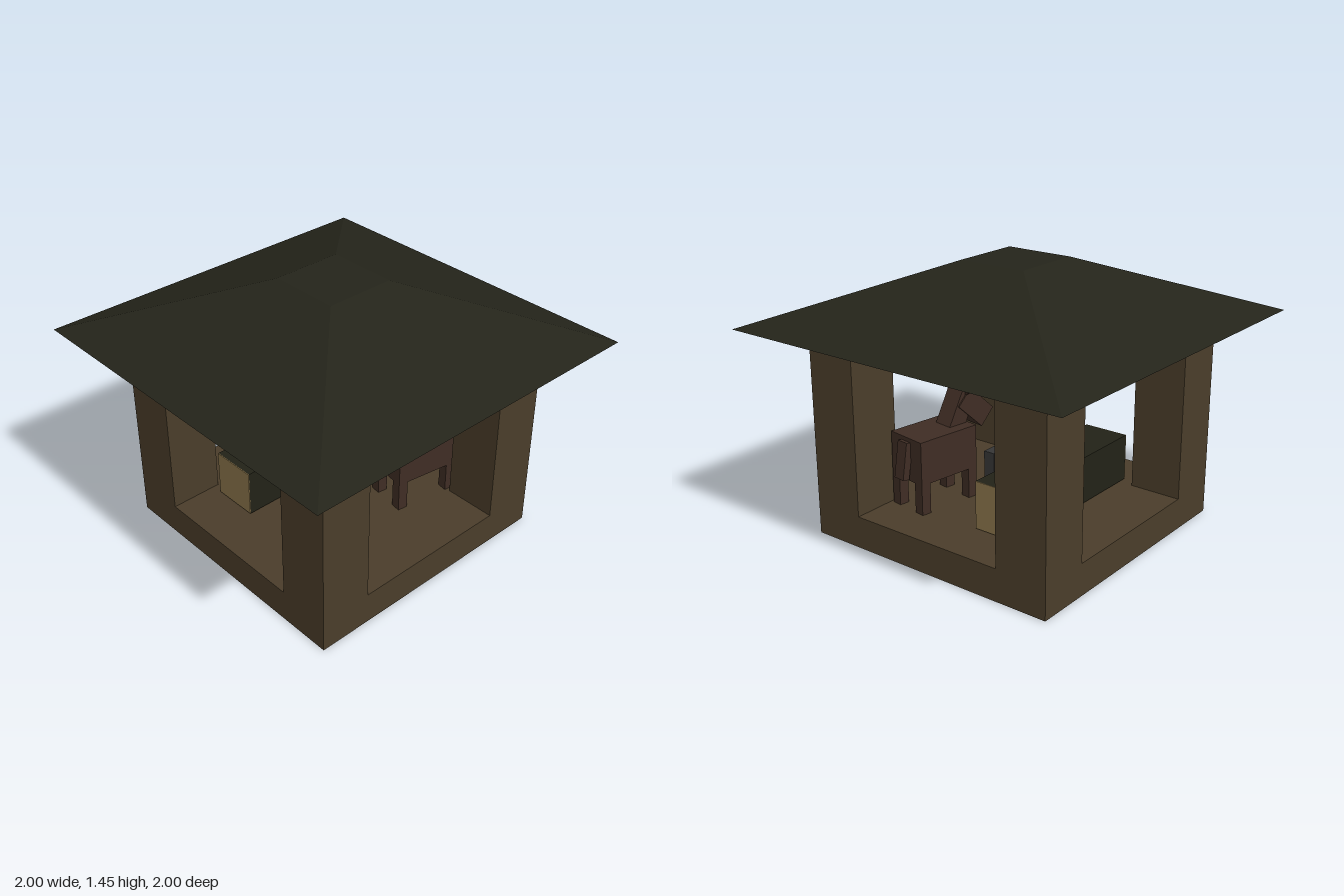
import * as THREE from 'three';

const paint = (color) => new THREE.MeshStandardMaterial({ color, flatShading: true });
const stone = paint(0x4a3d2a), thatch = paint(0x24241a), hide = paint(0x3f2d24);
const straw = paint(0x8a744a), cloth = paint(0x222217), slate = paint(0x363636);

function box(parent, name, material, size, pos, rot = [0, 0, 0]) {
  const mesh = new THREE.Mesh(new THREE.BoxGeometry(...size), material);
  mesh.name = name;
  mesh.position.set(...pos);
  mesh.rotation.set(...rot);
  parent.add(mesh);
  return mesh;
}

function createDonkey() {
  const donkey = new THREE.Group();
  donkey.name = 'donkey';
  box(donkey, 'body', hide, [0.238, 0.235, 0.372], [0, 0.4575, 0]);
  box(donkey, 'neck', hide, [0.11, 0.28, 0.1], [0, 0.607, 0.133], [0.47, 0, 0]);
  box(donkey, 'head', hide, [0.125, 0.12, 0.215], [0, 0.645, 0.24], [0.75, 0, 0]);
  box(donkey, 'tail', hide, [0.07, 0.2, 0.04], [0, 0.455, -0.205], [0.15, 0, 0]);
  for (const side of [-1, 1]) {
    box(donkey, 'ear', hide, [0.062, 0.15, 0.04], [side * 0.085, 0.787, 0.185], [-0.1, 0, -side * 0.92]);
    // legs sit flush with the corners of the body
    for (const end of [-1, 1]) {
      box(donkey, end > 0 ? 'frontLeg' : 'backLeg', hide, [0.056, 0.17, 0.056],
        [side * 0.091, 0.259, end * 0.158]);
    }
  }
  donkey.position.set(0.2875, 0, -0.325);
  donkey.rotation.y = -0.148;
  return donkey;
}

export function createModel() {
  const model = new THREE.Group();
  model.name = 'stableShelter';

  // floor slab and corner posts
  box(model, 'base', stone, [1.476, 0.175, 1.476], [0, 0.0875, 0]);
  for (const x of [-1, 1]) for (const z of [-1, 1]) {
    box(model, 'cornerPost', stone, [0.29, 0.945, 0.29], [x * 0.593, 0.6475, z * 0.593]);
  }

  // truncated pyramid roof, floating just above the posts
  const roofShape = new THREE.CylinderGeometry(0.192 * Math.SQRT2, Math.SQRT2, 0.318, 4, 1);
  roofShape.rotateY(Math.PI / 4);
  const roof = new THREE.Mesh(roofShape, thatch);
  roof.name = 'roof';
  roof.position.y = 1.294;
  model.add(roof);

  // long bale: dark sides with straw-coloured ends
  const bale = new THREE.Group();
  bale.name = 'bale';
  box(bale, 'baleCover', cloth, [0.257, 0.257, 0.962], [-0.25, 0.313, 0]);
  for (const z of [-1, 1]) {
    box(bale, 'baleEnd', straw, [0.257, 0.257, 0.004], [-0.25, 0.313, z * 0.483]);
  }
  model.add(bale);

  // low dividing panel
  box(model, 'divider', slate, [0.064, 0.305, 0.46], [-0.002, 0.3275, 0]);

  model.add(createDonkey());
  return model;
}
